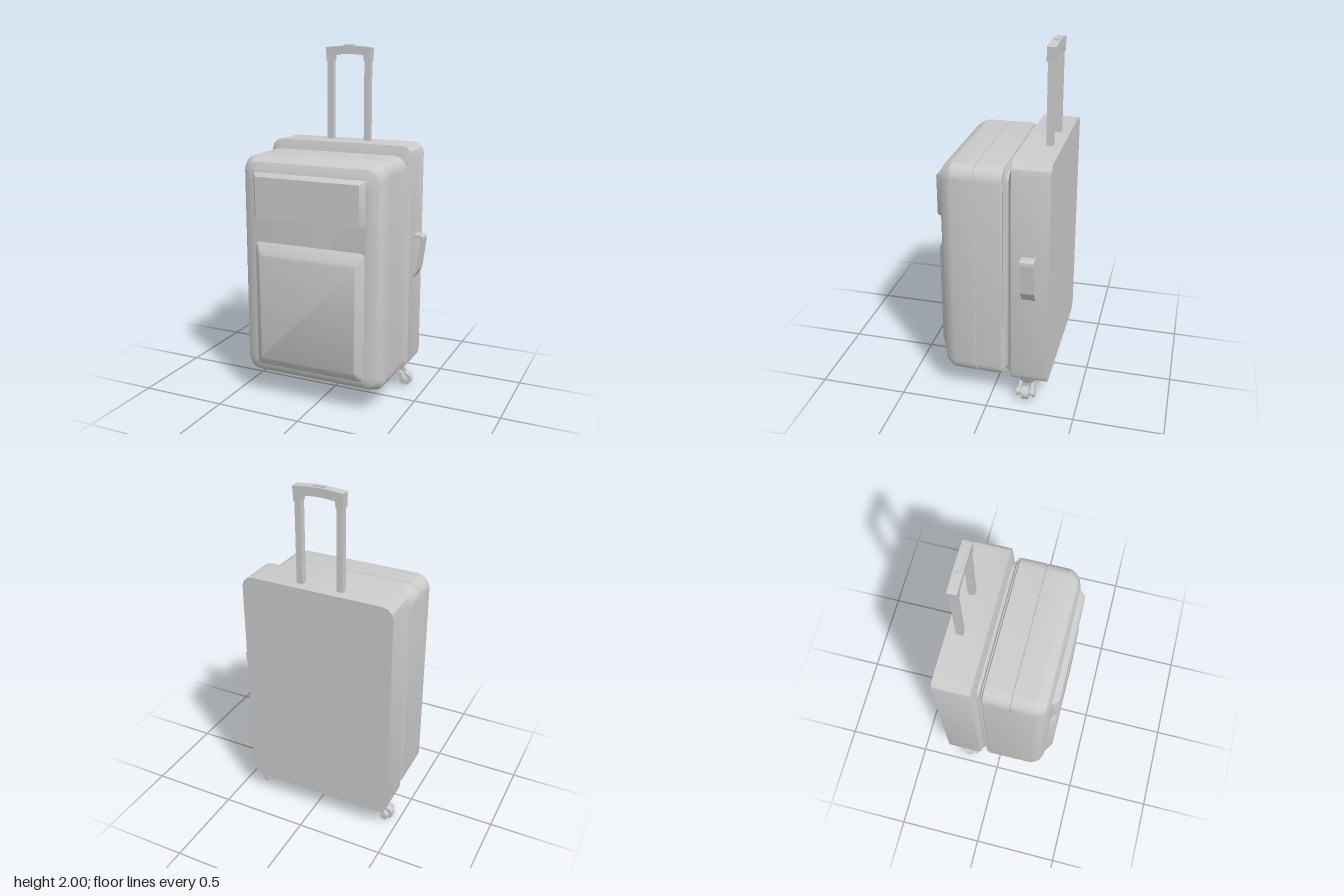
import * as THREE from 'three';
import { toCreasedNormals } from 'three/addons/utils/BufferGeometryUtils.js';

const CX = -0.028; // centre line of the case
const grey = () => new THREE.MeshStandardMaterial({ color: 0xcccccc });

function add(parent, name, geometry, x = 0, y = 0, z = 0) {
  const mesh = new THREE.Mesh(geometry, grey());
  mesh.name = name;
  mesh.position.set(x, y, z);
  parent.add(mesh);
  return mesh;
}

// Counter-clockwise outline of a rectangle with rounded corners
function ring([z, hx, y0, y1, r], seg) {
  const pts = [];
  const corners = [[hx - r, y1 - r], [r - hx, y1 - r], [r - hx, y0 + r], [hx - r, y0 + r]];
  corners.forEach(([x, y], c) => {
    for (let i = 0; i <= seg; i++) {
      const a = (c + i / seg) * Math.PI / 2;
      pts.push([x + r * Math.cos(a), y + r * Math.sin(a), z]);
    }
  });
  return pts;
}

// Skin over rounded rectangles [z, halfWidth, bottom, top, radius], back to front
function loft(sections, seg = 4, crease = 0.42) {
  const rings = sections.map((s) => ring(s, seg));
  const n = rings[0].length;
  const index = [];
  for (let k = 0; k < rings.length - 1; k++) {
    for (let i = 0; i < n; i++) {
      const a = k * n + i, b = k * n + (i + 1) % n;
      index.push(a, b, b + n, a, b + n, a + n);
    }
  }
  const last = (rings.length - 1) * n;
  for (let i = 1; i < n - 1; i++) {
    index.push(0, i + 1, i, last, last + i, last + i + 1);
  }
  const g = new THREE.BufferGeometry();
  g.setAttribute('position', new THREE.Float32BufferAttribute(rings.flat(2), 3));
  g.setIndex(index);
  return toCreasedNormals(g, crease);
}

// Extruded outline centred on z = 0
function slab(points, depth) {
  const shape = new THREE.Shape(points.map(([x, y]) => new THREE.Vector2(x, y)));
  return new THREE.ExtrudeGeometry(shape, { depth, bevelEnabled: false }).translate(0, 0, -depth / 2);
}

function disc(r, width) {
  return new THREE.CylinderGeometry(r, r, width, 20).rotateX(Math.PI / 2);
}

// Caster at the origin, leaning outwards to -x; the wheel hub sits at (-0.037, 0.04)
function caster(name) {
  const g = new THREE.Group();
  g.name = name;
  add(g, 'casterMount', slab([[-0.03, 0.14], [-0.012, 0.095], [0.002, 0.078], [0.012, 0.083], [0.04, 0.125], [0.04, 0.14]], 0.08), 0, 0, -0.203);
  add(g, 'wheel', disc(0.038, 0.038), -0.037, 0.038, -0.203);
  add(g, 'axle', disc(0.015, 0.108), -0.037, 0.04, -0.203);
  for (const s of [-1, 1]) {
    const arm = [[-0.048, 0.052], [-0.03, 0.028], [0.004, 0.072], [0.006, 0.09], [-0.012, 0.095]];
    add(g, 'forkArm', slab(arm, 0.018), 0, 0, -0.203 + s * 0.036);
    add(g, 'hubCap', disc(0.022, 0.016), -0.037, 0.04, -0.203 + s * 0.046);
  }
  return g;
}

export function createModel() {
  const model = new THREE.Group();
  model.name = 'suitcase';

  // Flat-backed rear shell
  add(model, 'backShell', loft([
    [-0.327, 0.438, 0.13, 1.455, 0.06],
    [-0.12, 0.438, 0.13, 1.455, 0.06],
    [-0.1, 0.405, 0.16, 1.39, 0.06],
  ], 3), CX);

  // Recessed zip band between the shells
  add(model, 'zipBand', loft([
    [-0.11, 0.398, 0.15, 1.38, 0.06],
    [-0.06, 0.398, 0.15, 1.38, 0.06],
  ]), CX);
  add(model, 'zipRidge', loft([
    [-0.083, 0.405, 0.142, 1.39, 0.06],
    [-0.075, 0.426, 0.133, 1.4, 0.07],
    [-0.07, 0.415, 0.138, 1.395, 0.07],
  ]), CX);

  // Front shell with a thin seam around it and a stepped, rounded face
  add(model, 'frontShell', loft([
    [-0.069, 0.418, 0.138, 1.397, 0.07],
    [-0.063, 0.427, 0.128, 1.406, 0.075],
    [0.081, 0.427, 0.128, 1.406, 0.075],
    [0.083, 0.421, 0.134, 1.4, 0.07],
    [0.086, 0.421, 0.134, 1.4, 0.07],
    [0.088, 0.427, 0.128, 1.406, 0.075],
    [0.215, 0.427, 0.13, 1.405, 0.075],
    [0.245, 0.415, 0.141, 1.393, 0.075],
    [0.268, 0.398, 0.154, 1.376, 0.07],
    [0.282, 0.37, 0.173, 1.345, 0.06],
    [0.291, 0.336, 0.195, 1.31, 0.04],
  ], 5), CX);

  // Raised panels on the front
  add(model, 'lowerPanel', loft([
    [0.275, 0.338, 0.18, 0.945, 0.02],
    [0.291, 0.33, 0.198, 0.93, 0.02],
    [0.318, 0.298, 0.238, 0.875, 0.015],
    [0.325, 0.288, 0.252, 0.862, 0.012],
  ], 2, 0.6), CX);
  add(model, 'upperPocket', loft([
    [0.275, 0.338, 1.07, 1.325, 0.006],
    [0.295, 0.332, 1.07, 1.32, 0.006],
    [0.322, 0.31, 1.07, 1.302, 0.006],
  ], 2), CX);

  // Telescopic handle
  const handle = new THREE.Group();
  handle.name = 'pullHandle';
  handle.position.set(CX, 0, -0.257);
  for (const s of [-1, 1]) {
    add(handle, 'handleTube', new THREE.BoxGeometry(0.034, 0.49, 0.038), s * 0.116, 1.685, 0);
  }
  const grip = new THREE.Shape();
  grip.moveTo(-0.136, 1.905);
  grip.lineTo(-0.098, 1.905);
  grip.lineTo(-0.094, 1.94);
  grip.quadraticCurveTo(0, 1.955, 0.094, 1.94);
  grip.lineTo(0.098, 1.905);
  grip.lineTo(0.136, 1.905);
  grip.lineTo(0.14, 1.984);
  grip.quadraticCurveTo(0, 2.003, -0.14, 1.984);
  const gripGeometry = new THREE.ExtrudeGeometry(grip, { depth: 0.05, bevelEnabled: false, curveSegments: 8 });
  add(handle, 'grip', gripGeometry, 0, 0, -0.025);
  add(handle, 'releaseButton', new THREE.BoxGeometry(0.06, 0.012, 0.024), 0, 1.994, 0);
  model.add(handle);

  // Side carry handle: a bent strap on the left side
  const strap = [
    [0.405, 0.937], [0.452, 0.937], [0.463, 0.93], [0.465, 0.913], [0.443, 0.733], [0.41, 0.678],
    [0.405, 0.69], [0.431, 0.738], [0.452, 0.91], [0.446, 0.923], [0.405, 0.923],
  ];
  add(model, 'sideHandle', slab(strap.reverse(), 0.076), 0, 0, -0.218);

  // Casters under the rear shell, one turned to mirror the other
  const right = caster('rightCaster');
  right.position.x = -0.389;
  const left = caster('leftCaster');
  left.rotation.y = Math.PI;
  left.position.set(0.337, 0, -0.406);
  model.add(right, left);

  return model;
}
